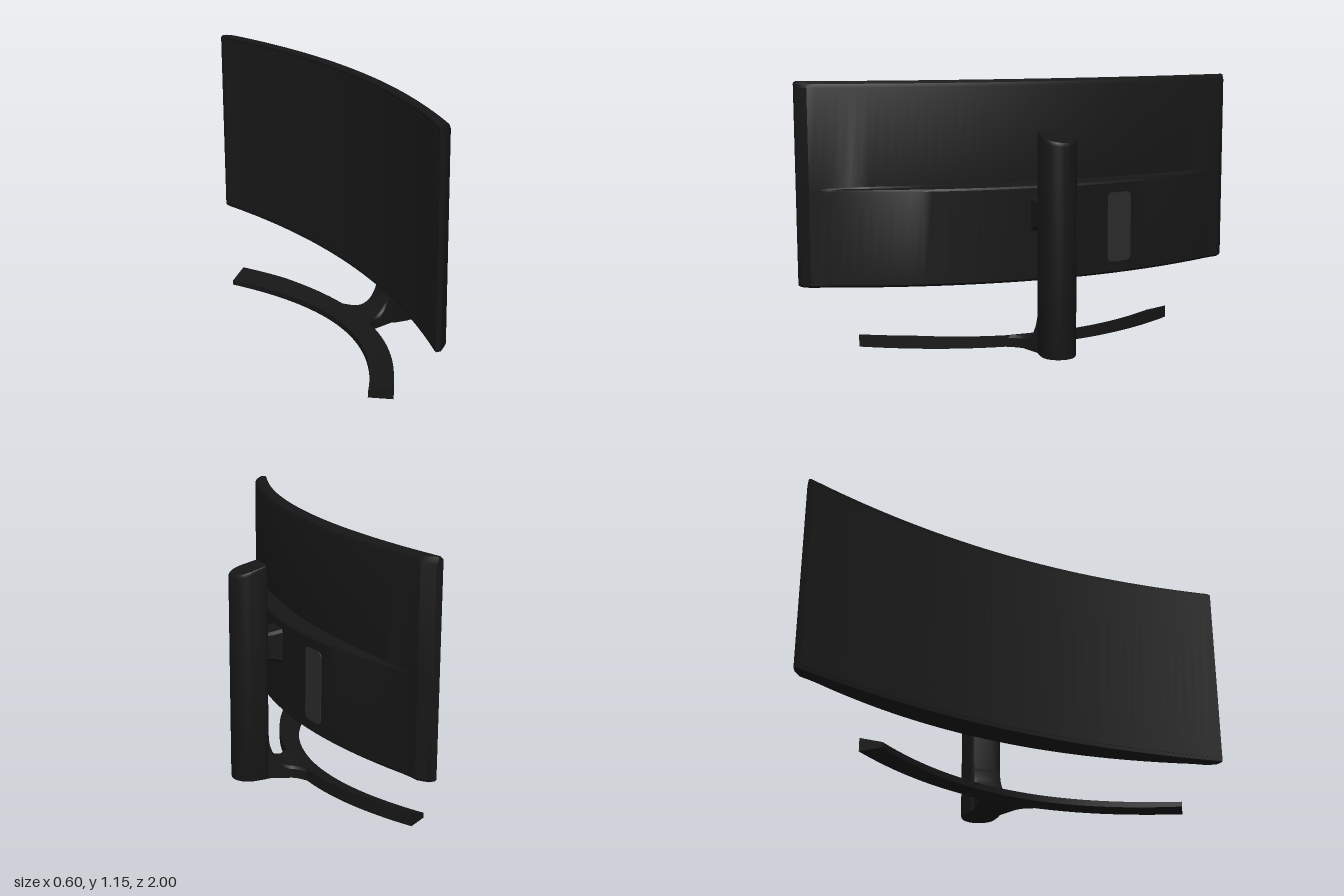
import * as THREE from 'three';
import { toCreasedNormals } from 'three/addons/utils/BufferGeometryUtils.js';

const material = (color) => new THREE.MeshStandardMaterial({ color });
const V = (x, y, z) => new THREE.Vector3(x, y, z);

// Skin a row of equal-length closed cross-sections and cap both ends
function loft(rings, crease = 0.5) {
  const n = rings[0].length;
  const pts = rings.flat();
  const index = [];
  for (let r = 0; r < rings.length - 1; r++) {
    for (let i = 0; i < n; i++) {
      const a = r * n + i, b = r * n + (i + 1) % n;
      index.push(a, b, b + n, a, b + n, a + n);
    }
  }
  for (const [r, flip] of [[0, true], [rings.length - 1, false]]) {
    const centre = V(0, 0, 0);
    rings[r].forEach((p) => centre.addScaledVector(p, 1 / n));
    const c = pts.push(centre) - 1;
    for (let i = 0; i < n; i++) {
      const a = r * n + i, b = r * n + (i + 1) % n;
      index.push(c, flip ? b : a, flip ? a : b);
    }
  }
  // Turn the faces outward if the enclosed volume is negative
  let volume = 0;
  const cross = V(0, 0, 0);
  for (let i = 0; i < index.length; i += 3) {
    volume += pts[index[i]].dot(cross.crossVectors(pts[index[i + 1]], pts[index[i + 2]]));
  }
  if (volume < 0) index.reverse();
  const g = new THREE.BufferGeometry().setFromPoints(pts);
  g.setIndex(index);
  return toCreasedNormals(g, crease);
}

// Curved surfaces of the display as functions of z
const BOTTOM = 0.302, TOP = 1.152;
const frontX = (z) => -0.048 - 0.147 * z * z;
const bulge = (z) => 0.075 * Math.max(0, 1 - (z / 0.9) ** 2);
const backX = (z) => frontX(z) + 0.058 + bulge(z);

// Housing section: thin upper half, thicker lower half below a ledge
function housingRing(z, thickness, inset) {
  const f = frontX(z), u = f + thickness, b = bulge(z);
  const y0 = BOTTOM + inset, y1 = TOP - inset;
  return [
    [f, y0 + 0.006], [f, y1 - 0.006], [f + 0.006, y1], [f + 0.65 * thickness, y1],
    [u - 0.006, y1 - 0.01], [u, y1 - 0.025],
    [u, 0.72], [u + 0.2 * b, 0.713], [u + 0.9 * b, 0.709], [u + b, 0.7],
    [u + b, y0 + 0.01], [u + b - 0.01, y0], [f + 0.006, y0],
  ].map(([x, y]) => V(x, y, z));
}

export function createModel() {
  const group = new THREE.Group();
  const dark = material(0x161616);
  const add = (name, geometry, mat = dark) => {
    const mesh = new THREE.Mesh(geometry, mat);
    mesh.name = name;
    group.add(mesh);
    return mesh;
  };

  // Curved display housing with chamfered side edges
  const housing = [housingRing(-1, 0.025, 0.004), housingRing(-0.992, 0.036, 0)];
  for (let i = -24; i <= 24; i++) housing.push(housingRing(i * 0.04, 0.058, 0));
  housing.push(housingRing(0.992, 0.036, 0), housingRing(1, 0.025, 0.004));
  add('displayHousing', loft(housing));

  // Screen panel set within the bezel
  const screen = [];
  for (let i = -24; i <= 24; i++) {
    const z = i * 0.98 / 24, f = frontX(z);
    screen.push([[-0.002, 0.325], [-0.002, 1.132], [0.004, 1.132], [0.004, 0.325]]
      .map(([x, y]) => V(f + x, y, z)));
  }
  add('screen', loft(screen), material(0x191919));

  // Rounded cover on the back, wrapped onto the curved housing
  const w = 0.06, r = 0.022, lo = 0.355, hi = 0.66;
  const outline = new THREE.Shape();
  outline.absarc(w - r, lo + r, r, -Math.PI / 2, 0);
  outline.absarc(w - r, hi - r, r, 0, Math.PI / 2);
  outline.absarc(-w + r, hi - r, r, Math.PI / 2, Math.PI);
  outline.absarc(-w + r, lo + r, r, Math.PI, Math.PI * 1.5);
  const cover = new THREE.ExtrudeGeometry(outline, { depth: 0.012, bevelEnabled: false, curveSegments: 6 });
  const p = cover.attributes.position;
  for (let i = 0; i < p.count; i++) {
    const z = -0.36 - p.getX(i);
    p.setXYZ(i, backX(z) - 0.008 + p.getZ(i), p.getY(i), z);
  }
  cover.computeVertexNormals();
  add('portCover', cover, material(0x2b2b2b));

  // Pillar: flat front, round back, sloping top
  const plan = new THREE.Shape();
  plan.moveTo(0.147, -0.055);
  plan.quadraticCurveTo(0.15, -0.068, 0.165, -0.07);
  plan.lineTo(0.221, -0.075);
  plan.absarc(0.221, 0, 0.075, -Math.PI / 2, Math.PI / 2);
  plan.lineTo(0.165, 0.07);
  plan.quadraticCurveTo(0.15, 0.068, 0.147, 0.055);
  const planPoints = plan.getPoints(16);
  const pillarRing = (shrink, height) => planPoints.map((q) => {
    const x = 0.221 + (q.x - 0.221) * shrink;
    return V(x, height(x), q.y * shrink);
  });
  const slope = (drop) => (x) => 0.95 - 0.3 * (x - 0.147) - drop;
  add('pillar', loft([
    pillarRing(0.97, () => 0.004), pillarRing(1, () => 0.012),
    pillarRing(1, slope(0.014)), pillarRing(0.98, slope(0.004)), pillarRing(0.94, slope(0)),
  ]));

  // Tapered mount between display and pillar
  const mountRing = (x, y0, y1, h) => [
    [y0, -h + 0.012], [y0 + 0.012, -h], [y1 - 0.012, -h], [y1, -h + 0.012],
    [y1, h - 0.012], [y1 - 0.012, h], [y0 + 0.012, h], [y0, h - 0.012],
  ].map(([y, z]) => V(x, y, z));
  add('mount', loft([
    mountRing(0.06, 0.515, 0.672, 0.068), mountRing(0.085, 0.52, 0.667, 0.066),
    mountRing(0.13, 0.53, 0.657, 0.062), mountRing(0.16, 0.53, 0.657, 0.062),
  ]));

  // Curved base: one sweeping bar forming both arms
  const arms = [];
  for (let i = -20; i <= 20; i++) {
    const s = i / 20, zf = 0.68 * s, zb = 0.74 * s;
    const xf = -0.075 - 0.487 * zf * zf, xb = 0.01 - 0.42 * zb * zb;
    const bottom = 0.005 + 0.006 * s * s, top = 0.055 + 0.01 * Math.min(1, 2 * s * s);
    arms.push([V(xf, bottom, zf), V(xf, 0.032, zf), V(xb, top, zb), V(xb, bottom, zb)]);
  }
  add('baseArms', loft(arms));

  // Foot: flares out to the arms and sweeps up into the pillar
  const footRing = (x, top, h) => {
    const c = Math.min(0.012, top * 0.2);
    return [
      [0.004, -h], [top - c, -h], [top, -h + c], [top, h - c], [top - c, h], [0.004, h],
    ].map(([y, z]) => V(x, y, z));
  };
  const foot = [footRing(-0.03, 0.047, 0.19), footRing(-0.01, 0.053, 0.16),
    footRing(0.01, 0.056, 0.128), footRing(0.03, 0.056, 0.104)];
  for (let i = 0; i <= 10; i++) {
    const a = (i / 10) * Math.PI / 2;
    foot.push(footRing(0.05 + 0.098 * Math.sin(a), 0.056 + 0.16 * (1 - Math.cos(a)),
      0.062 + 0.027 * (1 - Math.sin(a))));
  }
  foot.push(footRing(0.2, 0.216, 0.062));
  add('foot', loft(foot));

  return group;
}
